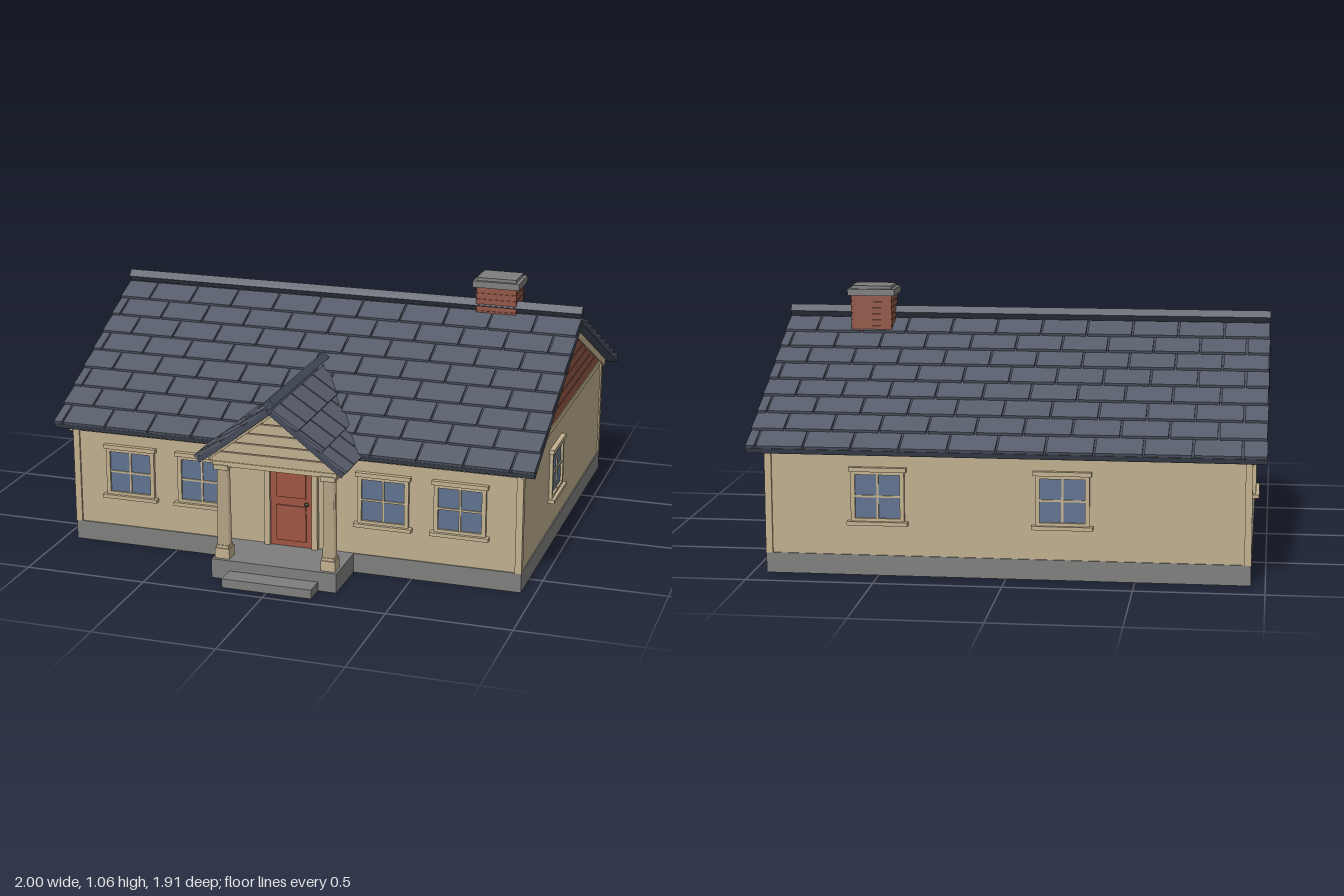
import * as THREE from 'three';
import { mergeGeometries } from 'three/addons/utils/BufferGeometryUtils.js';

const material = (name, color) => {
  const m = new THREE.MeshStandardMaterial({ color });
  m.name = name;
  return m;
};
const MID = -0.115; // z of the main ridge
const SLOPE = 0.487; // main roof rise over run

// Box given by its limits
function span(x0, x1, y0, y1, z0, z1) {
  return new THREE.BoxGeometry(x1 - x0, y1 - y0, z1 - z0)
    .translate((x0 + x1) / 2, (y0 + y1) / 2, (z0 + z1) / 2);
}

// Polygon plate in the xy plane, thickened towards +z
function plate(points, depth) {
  const shape = new THREE.Shape(points.map(([x, y]) => new THREE.Vector2(x, y)));
  return new THREE.ExtrudeGeometry(shape, { depth, bevelEnabled: false });
}

// Horizontal boards filling a symmetric triangle
function boards(bottom, apex, slope, rows, depth) {
  const h = (apex - bottom) / rows, list = [];
  for (let i = 0; i < rows; i++) {
    const y0 = bottom + i * h, y1 = y0 + h - 0.004;
    const a = (apex - y0) / slope, b = (apex - y1) / slope;
    list.push(plate([[-a, y0], [a, y0], [b, y1], [-b, y1]], depth));
  }
  return list;
}

export function createModel() {
  const root = new THREE.Group();
  root.name = 'house';
  const wall = material('wall beige', 0xbfae8e);
  const trim = material('trim beige', 0xc2b18f);
  const siding = material('siding red', 0x925646);
  const doorRed = material('door red', 0x9c5442);
  const stone = material('stone grey', 0x7e7e7d);
  const shingle = material('shingle slate', 0x565c69);
  const slate = material('dark slate', 0x434a58);
  const glass = material('glass blue', 0x60728f);
  const metal = material('dark metal', 0x35312e);

  const add = (name, mat, geos, parent = root) => {
    const list = (Array.isArray(geos) ? geos : [geos]).map(g => (g.index ? g.toNonIndexed() : g));
    const mesh = new THREE.Mesh(mergeGeometries(list), mat);
    mesh.name = name;
    parent.add(mesh);
    return mesh;
  };

  // Foundation, porch floor and step
  add('foundation', stone, span(-0.945, 0.945, 0, 0.08, -0.875, 0.645));
  add('porchFloor', stone, span(-0.26, 0.26, 0, 0.08, 0.64, 0.87));
  add('porchStep', stone, span(-0.185, 0.185, 0, 0.037, 0.86, 0.955));

  // Walls with gable ends
  const eave = 0.888 - 0.755 * SLOPE;
  add('walls', wall, plate([[-0.755, 0.08], [0.755, 0.08], [0.755, eave], [0, 0.888], [-0.755, eave]], 1.88)
    .rotateY(Math.PI / 2).translate(-0.94, 0, MID));

  // Corner boards and frieze
  const corners = [];
  for (const x of [-0.9325, 0.9325])
    for (const z of [MID - 0.75, MID + 0.75])
      corners.push(span(x - 0.0135, x + 0.0135, 0.08, 0.515, z - 0.0135, z + 0.0135));
  add('cornerBoards', trim, corners);
  add('frieze', trim, span(-0.94, 0.94, 0.475, 0.51, MID - 0.762, MID + 0.762));

  // Gable ends: clapboards, rake boards and the band below
  for (const s of [-1, 1]) {
    const gable = new THREE.Group();
    gable.name = s > 0 ? 'leftGable' : 'rightGable';
    gable.position.set(s * 0.94, 0, MID);
    gable.rotation.y = s * Math.PI / 2;
    root.add(gable);
    add('gableBacking', siding, plate([[-0.64, 0.54], [0.64, 0.54], [0, 0.855]], 0.003), gable);
    add('gableBoards', siding, boards(0.54, 0.857, SLOPE, 7, 0.008), gable);
    const e = 0.78, d = e * SLOPE;
    add('rakeBoards', trim, plate([[-e, 0.89 - d], [0, 0.89], [e, 0.89 - d],
      [e, 0.857 - d], [0, 0.857], [-e, 0.857 - d]], 0.014), gable);
    add('gableBand', trim, span(-0.74, 0.74, 0.515, 0.54, 0, 0.012), gable);
  }

  // One roof slope: slab and rows of tilted, staggered shingles
  function roofSlope(name, length, run, slope, rows, width, place) {
    const long = run * Math.hypot(1, slope), row = long / rows, half = length / 2;
    const group = new THREE.Group();
    group.name = name;
    const tiles = [];
    for (let i = 0; i < rows; i++) {
      const start = -half - (i % 2 ? 0 : width / 2) + width * 0.2;
      for (let x = start - width; x < half; x += width) {
        const a = Math.max(x + 0.004, -half), b = Math.min(x + width - 0.004, half);
        if (b - a < 0.01) continue;
        tiles.push(new THREE.BoxGeometry(b - a, 0.011, row * 1.04)
          .rotateX(-Math.atan(0.011 / row))
          .translate((a + b) / 2, 0.026, (i + 0.5) * row));
      }
    }
    const tilt = Math.atan(slope);
    add('roofDeck', slate, span(-half, half, 0, 0.023, 0, long).rotateX(tilt), group);
    add('shingles', shingle, tiles.map(g => g.rotateX(tilt)), group);
    group.position.set(...place.at);
    group.rotation.y = place.turn;
    root.add(group);
  }
  roofSlope('frontRoof', 2, 0.81, SLOPE, 8, 0.187, { at: [0, 0.89, MID], turn: 0 });
  roofSlope('backRoof', 2, 0.825, SLOPE, 8, 0.187, { at: [0, 0.89, MID], turn: Math.PI });
  for (const s of [-1, 1])
    roofSlope('porchRoof', 0.665, 0.29, 0.775, 3, 0.13, { at: [0, 0.715, 0.5675], turn: s * Math.PI / 2 });

  // Ridge caps, square bars set on edge
  const bar = (side, length) => new THREE.BoxGeometry(length, side, side).rotateX(Math.PI / 4);
  add('ridgeCap', slate, bar(0.036, 2).translate(0, 0.938, MID));
  add('porchRidgeCap', slate, bar(0.034, 0.67).rotateY(Math.PI / 2).translate(0, 0.757, 0.57));

  // Porch gable, beam and posts
  add('porchGable', wall, plate([[-0.275, 0.482], [0.275, 0.482], [0.275, 0.495], [0, 0.71], [-0.275, 0.495]], 0.21)
    .translate(0, 0, 0.63));
  add('porchGableBoards', wall, boards(0.486, 0.7, 0.775, 5, 0.006).map(g => g.translate(0, 0, 0.84)));
  add('porchBeam', trim, span(-0.255, 0.255, 0.467, 0.486, 0.8, 0.85));
  for (const x of [-0.22, 0.22]) {
    add('porchPost', trim, [
      span(x - 0.03, x + 0.03, 0.08, 0.122, 0.795, 0.855),
      span(x - 0.026, x + 0.026, 0.122, 0.134, 0.799, 0.851),
      new THREE.CylinderGeometry(0.028, 0.032, 0.33, 4).rotateY(Math.PI / 4).translate(x, 0.295, 0.825),
      span(x - 0.03, x + 0.03, 0.452, 0.472, 0.795, 0.855)]);
  }

  // Door with raised panels, frame and knob
  add('door', doorRed, span(-0.088, 0.088, 0.08, 0.465, 0.63, 0.648));
  add('doorPanels', doorRed, [
    span(-0.062, 0.062, 0.29, 0.44, 0.648, 0.654),
    span(-0.062, 0.062, 0.105, 0.255, 0.648, 0.654)]);
  add('doorFrame', trim, [
    span(-0.112, -0.088, 0.08, 0.482, 0.635, 0.66),
    span(0.088, 0.112, 0.08, 0.482, 0.635, 0.66),
    span(-0.088, 0.088, 0.465, 0.482, 0.635, 0.66)]);
  add('doorKnob', metal, new THREE.SphereGeometry(0.009, 10, 8).translate(0.068, 0.27, 0.66));

  // Windows: pane, frame, glazing bars, head and sill
  function addWindow(x, z, turn) {
    const w = new THREE.Group();
    w.name = 'window';
    w.position.set(x, 0.315, z);
    w.rotation.y = turn;
    root.add(w);
    add('pane', glass, span(-0.092, 0.092, -0.1, 0.1, 0, 0.005), w);
    add('windowFrame', trim, [
      span(-0.105, -0.088, -0.1, 0.1, 0, 0.014), span(0.088, 0.105, -0.1, 0.1, 0, 0.014),
      span(-0.088, 0.088, 0.086, 0.1, 0, 0.014), span(-0.088, 0.088, -0.1, -0.086, 0, 0.014),
      span(-0.004, 0.004, -0.09, 0.09, 0, 0.01), span(-0.09, 0.09, -0.004, 0.004, 0, 0.01),
      span(-0.113, 0.113, 0.098, 0.115, 0, 0.02), span(-0.119, 0.119, -0.113, -0.098, 0, 0.027)], w);
  }
  for (const x of [-0.695, -0.382, 0.382, 0.695]) addWindow(x, MID + 0.755, 0);
  for (const x of [0.5, -0.22]) addWindow(x, MID - 0.755, Math.PI);
  addWindow(0.94, 0.053, Math.PI / 2);
  addWindow(-0.94, MID, -Math.PI / 2);

  // Chimney: core, brick courses and stepped cap
  const bricks = [];
  for (let i = 0; i < 8; i++) {
    const y = 0.82 + i * 0.025;
    bricks.push(span(0.555, 0.725, y, y + 0.021, -0.225, -0.092));
  }
  add('chimneyCore', siding, span(0.559, 0.721, 0.8, 1.02, -0.221, -0.096));
  add('chimneyBricks', siding, bricks);
  add('chimneyCap', stone, [
    span(0.542, 0.738, 1.017, 1.044, -0.237, -0.08),
    span(0.557, 0.723, 1.044, 1.057, -0.224, -0.093)]);

  return root;
}
